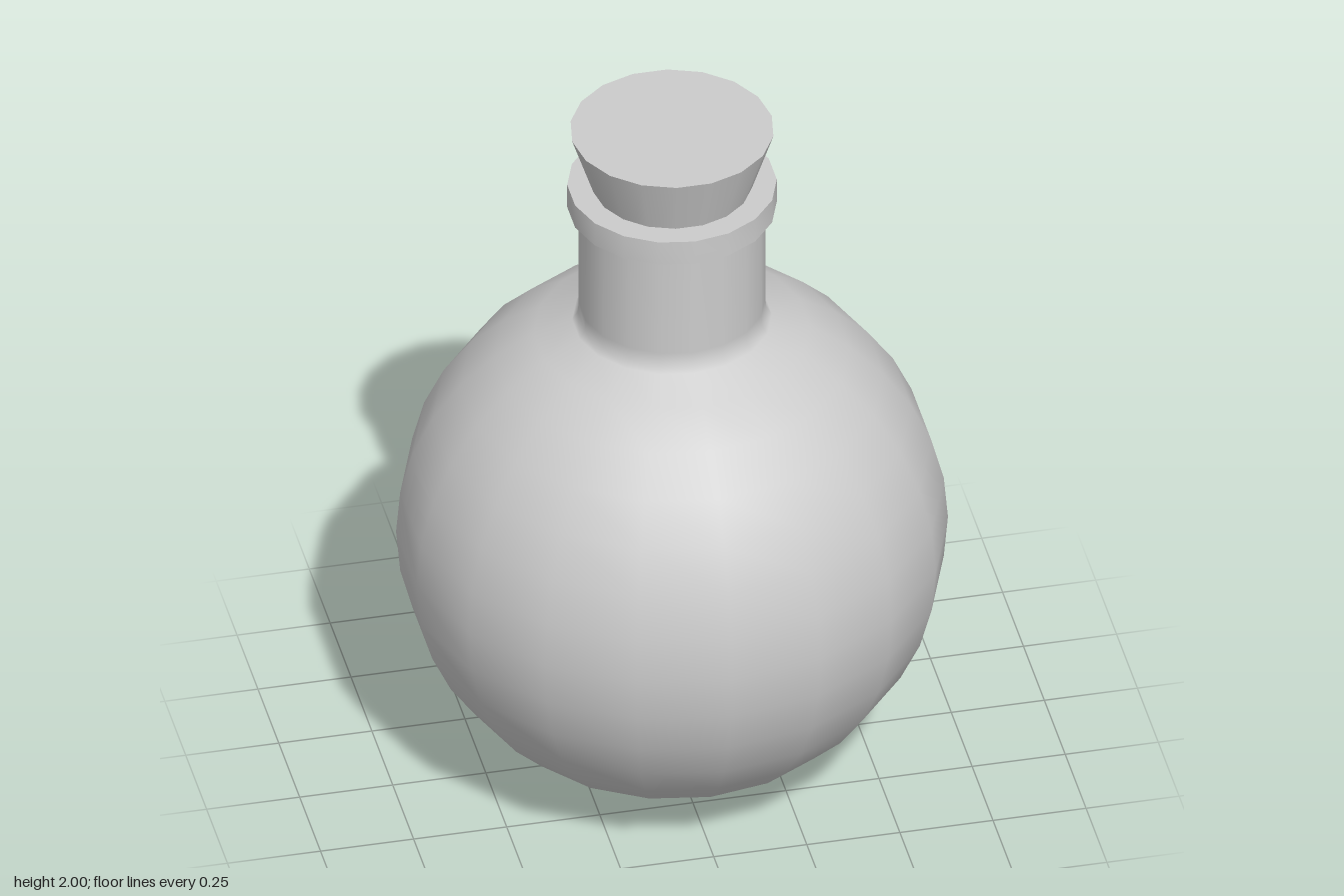
import * as THREE from 'three';
import { toCreasedNormals } from 'three/addons/utils/BufferGeometryUtils.js';

const SIDES = 18;

export function createModel() {
  const group = new THREE.Group();
  group.name = 'corkedFlask';
  const material = new THREE.MeshStandardMaterial({ color: 0xcccccc, side: THREE.DoubleSide });

  const add = (name, geometry) => {
    const mesh = new THREE.Mesh(geometry, material);
    mesh.name = name;
    group.add(mesh);
    return mesh;
  };
  const lathe = (points) =>
    new THREE.LatheGeometry(points.map(([r, y]) => new THREE.Vector2(r, y)), SIDES);

  // Round body flowing into the straight neck
  const radius = 0.724, centre = 0.728;
  const profile = [[0, 0.005]];
  for (let deg = 20; deg <= 150; deg += 10) {
    const a = THREE.MathUtils.degToRad(deg);
    profile.push([radius * Math.sin(a), centre - radius * Math.cos(a)]);
  }
  profile.push([0.262, 1.395], [0.247, 1.42], [0.245, 1.45], [0.245, 1.78]);
  add('bodyAndNeck', lathe(profile));

  // Flat-edged rim around the mouth
  const rim = lathe([[0.2, 1.757], [0.275, 1.757], [0.275, 1.828], [0.2, 1.828], [0.2, 1.757]]);
  add('rim', toCreasedNormals(rim, Math.PI / 4));

  // Tapered stopper, its lower end inside the neck
  const stopper = add('stopper', new THREE.CylinderGeometry(0.268, 0.175, 0.28, SIDES));
  stopper.position.y = 1.86;
  stopper.rotation.y = Math.PI / 2;

  return group;
}
